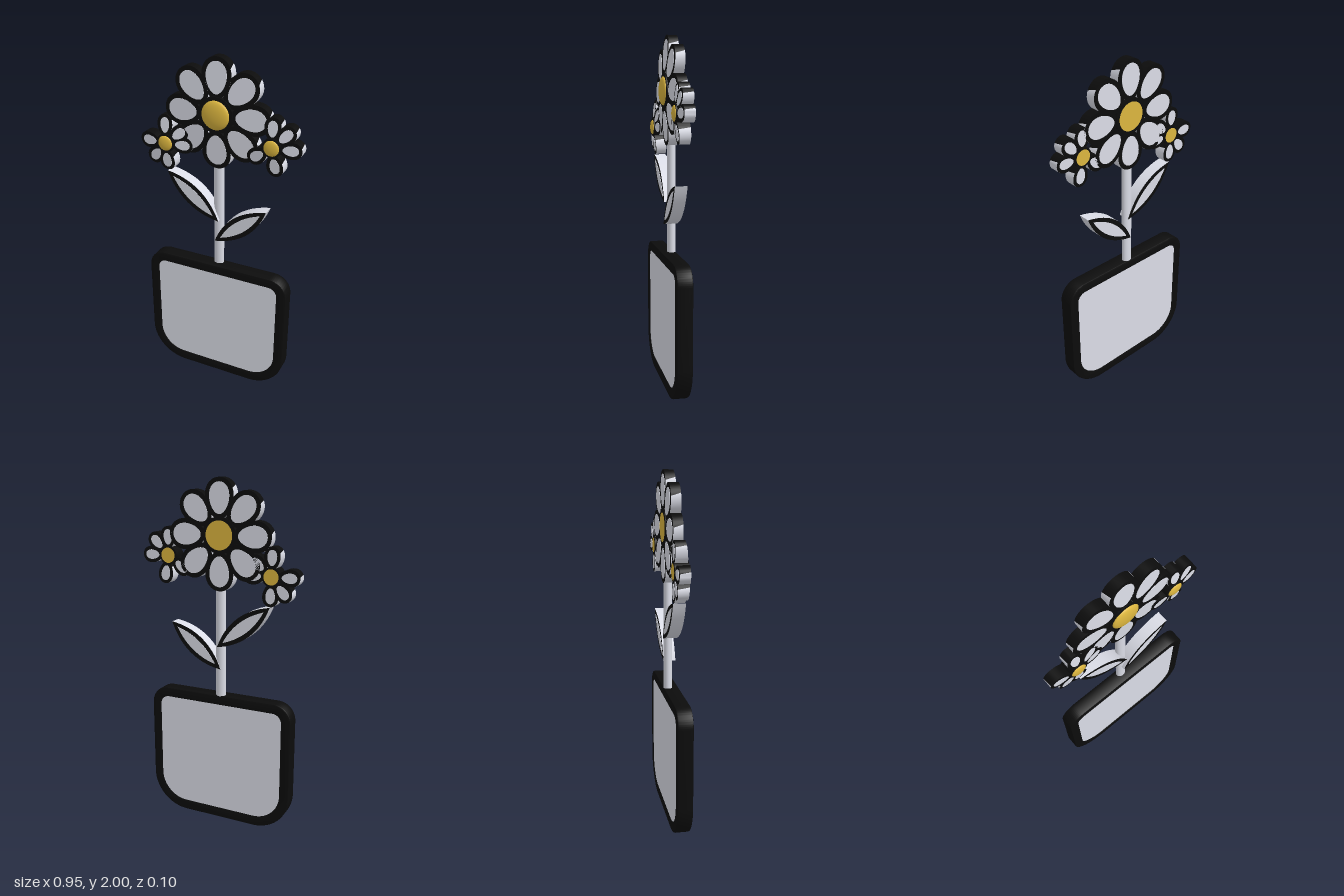
import * as THREE from 'three';
import { toCreasedNormals } from 'three/addons/utils/BufferGeometryUtils.js';

const mat = (name, color) => Object.assign(new THREE.MeshStandardMaterial({ color }), { name });

export function createModel() {
  const white = mat('soft white', 0xdcdee8);
  const black = mat('outline black', 0x0c0c0c);
  const gold = mat('gold', 0xdcb63f);
  const model = new THREE.Group();
  model.name = 'pottedFlowers';

  const add = (parent, name, geometry, material) => {
    const mesh = new THREE.Mesh(geometry, material);
    mesh.name = name;
    parent.add(mesh);
    return mesh;
  };

  // Extrude a flat shape between two depths
  const slab = (shape, back, front) => {
    const g = new THREE.ExtrudeGeometry(shape, { depth: front - back, bevelEnabled: false, curveSegments: 16 });
    return g.translate(0, 0, back);
  };

  // Teardrop petal lying along +x, wider toward its tip
  const petalShape = (centre, length, width) => {
    const pts = [];
    for (let i = 0; i < 36; i++) {
      const a = (i / 36) * Math.PI * 2;
      pts.push(new THREE.Vector2(centre + length * Math.cos(a), width * Math.sin(a) * (1 + 0.15 * Math.cos(a))));
    }
    return new THREE.Shape(pts);
  };

  // Raise the front of a petal toward the flower's middle
  const tilt = (g, reach, rise) => {
    const p = g.attributes.position;
    for (let i = 0; i < p.count; i++) {
      if (p.getZ(i) > 0) p.setZ(i, p.getZ(i) + rise * (1 - p.getX(i) / reach));
    }
    g.computeVertexNormals();
    return toCreasedNormals(g, 0.6);
  };

  // Rim faces turned upward are black, the others white
  const colourRim = (g) => {
    const n = g.attributes.normal;
    g.clearGroups();
    let start = 0, last = -1;
    for (let i = 0; i < n.count; i += 3) {
      const index = Math.abs(n.getZ(i)) > 0.7 || n.getY(i) > 0.4 ? 0 : 1;
      if (index !== last) {
        if (last >= 0) g.addGroup(start, i - start, last);
        start = i;
        last = index;
      }
    }
    g.addGroup(start, n.count - start, last);
    return g;
  };

  const makeFlower = (name, x, y, o) => {
    const flower = new THREE.Group();
    flower.name = name;
    flower.position.set(x, y, 0);
    model.add(flower);
    const reach = o.centre + o.length;
    for (const degrees of o.angles) {
      const a = THREE.MathUtils.degToRad(degrees);
      const body = tilt(slab(petalShape(o.centre, o.length, o.width), o.back, o.front), reach, 0.018);
      add(flower, 'petalOutline', colourRim(body.rotateZ(a)), [black, white]);
      const fill = slab(petalShape(o.centre + 0.002, o.length - o.line, o.width - o.line), o.back - 0.002, o.front + 0.002);
      add(flower, 'petalFill', tilt(fill, reach, 0.018).rotateZ(a), white);
    }
    // Raised dark core with a dome in front and a flat disc behind
    const top = o.front + 0.018;
    const core = new THREE.CylinderGeometry(o.eye * 1.25, o.eye * 1.25, top - o.back + 0.003, 36).rotateX(Math.PI / 2);
    add(flower, 'core', core.translate(0, 0, (top + o.back - 0.003) / 2), black);
    const dome = new THREE.SphereGeometry(o.eye, 36, 10, 0, Math.PI * 2, 0, Math.PI / 2).rotateX(Math.PI / 2);
    add(flower, 'centreDome', dome.scale(1, 1, o.dome / o.eye).translate(0, 0, top), gold);
    const disc = new THREE.CircleGeometry(o.eye, 36).rotateY(Math.PI);
    add(flower, 'centreBack', disc.translate(0, 0, o.back - 0.005), gold);
  };

  makeFlower('largeFlower', -0.005, 1.695, {
    angles: [0, 45, 90, 135, 180, 225, 270, 315],
    centre: 0.195, length: 0.11, width: 0.084, line: 0.025,
    back: -0.045, front: 0.008, eye: 0.08, dome: 0.023,
  });
  const small = { centre: 0.1, length: 0.062, width: 0.046, line: 0.019, back: -0.043, front: 0.014, eye: 0.043, dome: 0.013 };
  makeFlower('leftSmallFlower', 0.315, 1.57, { ...small, angles: [90, 45, 0, -80, -145] });
  makeFlower('rightSmallFlower', -0.31, 1.49, { ...small, angles: [92, 38, 0, 180, 230, 272] });

  // Stem
  const stem = new THREE.CylinderGeometry(0.03, 0.03, 0.75, 24);
  add(model, 'stem', stem.scale(1, 1, 0.8).translate(-0.003, 1.1, -0.019), white);

  // Leaves: pointed lenses from base to tip
  const lens = (length, inset, width) => {
    const s = new THREE.Shape();
    s.moveTo(inset, 0);
    s.quadraticCurveTo(length / 2, -width, length - inset, 0);
    s.quadraticCurveTo(length / 2, width, inset, 0);
    return s;
  };
  const makeLeaf = (name, x0, y0, x1, y1) => {
    const leaf = new THREE.Group();
    leaf.name = name;
    const length = Math.hypot(x1 - x0, y1 - y0);
    leaf.position.set(x0, y0, 0);
    leaf.rotation.z = Math.atan2(y1 - y0, x1 - x0);
    add(leaf, 'leafOutline', toCreasedNormals(slab(lens(length, 0, 0.118), -0.045, 0.024), 0.6), [black, white]);
    add(leaf, 'leafFill', slab(lens(length, 0.045, 0.066), -0.047, 0.026), white);
    model.add(leaf);
  };
  makeLeaf('rightLeaf', 0.01, 1.07, -0.305, 1.325);
  makeLeaf('leftLeaf', -0.012, 0.94, 0.297, 1.19);

  // Pot: frame with large lower corners around a slightly recessed panel
  const potOutline = (s, w, y0, y1, low, high) => {
    s.moveTo(-w + low, y0);
    s.lineTo(w - low, y0);
    s.absarc(w - low, y0 + low, low, -Math.PI / 2, 0, false);
    s.absarc(w - high, y1 - high, high, 0, Math.PI / 2, false);
    s.absarc(-w + high, y1 - high, high, Math.PI / 2, Math.PI, false);
    s.absarc(-w + low, y0 + low, low, Math.PI, Math.PI * 1.5, false);
    return s;
  };
  const frameShape = potOutline(new THREE.Shape(), 0.443, 0, 0.78, 0.22, 0.105);
  frameShape.holes.push(potOutline(new THREE.Path(), 0.383, 0.065, 0.722, 0.16, 0.05));
  const bevel = 0.008;
  const frame = new THREE.ExtrudeGeometry(frameShape, {
    depth: 0.087 - 2 * bevel, bevelThickness: bevel, bevelSize: bevel,
    bevelOffset: -bevel, bevelSegments: 2, curveSegments: 16,
  }).translate(0, 0, -0.045 + bevel);
  add(model, 'potFrame', toCreasedNormals(frame, 0.6), black);
  const panel = potOutline(new THREE.Shape(), 0.388, 0.06, 0.727, 0.165, 0.055);
  add(model, 'potPanel', slab(panel, -0.043, 0.037), white);

  return model;
}
